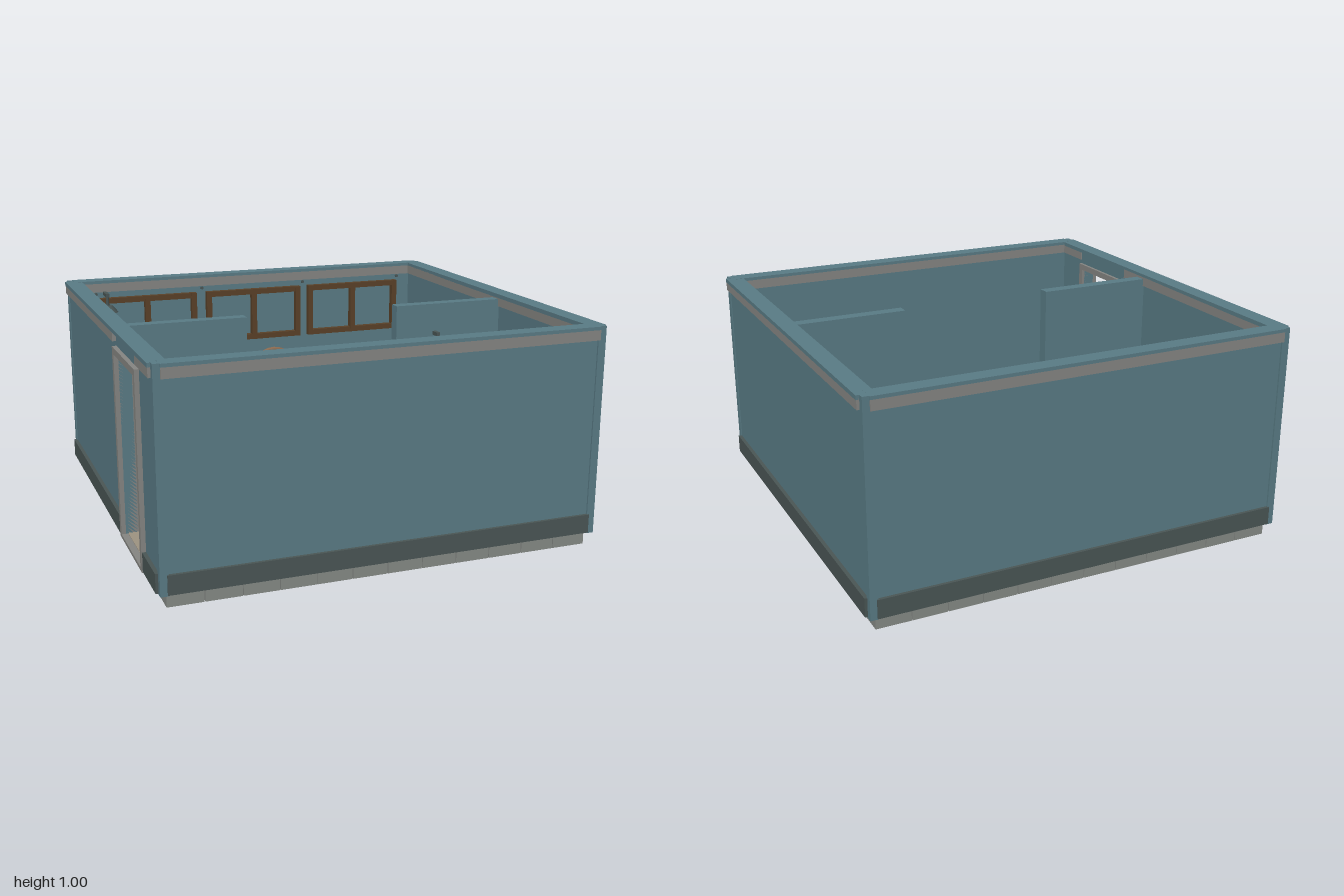
import * as THREE from 'three';

const COLORS = {
  wallBlue: 0x5a7c86, plankGrey: 0x868a86, trimGrey: 0x868683, darkIron: 0x4a5655,
  wood: 0x5a4128, linen: 0x9e9482, blanketGreen: 0x6f7c62, blanketStripe: 0x8f9680,
  copper: 0x8a6a50, steel: 0x76807f,
};

export function createModel() {
  const root = new THREE.Group();
  root.name = 'cabin';
  const M = {};
  for (const [name, color] of Object.entries(COLORS)) {
    M[name] = new THREE.MeshStandardMaterial({ color });
    M[name].name = name;
  }
  const group = (name, parent = root) => {
    const g = new THREE.Group();
    g.name = name;
    parent.add(g);
    return g;
  };
  const mesh = (name, geo, mat, x, y, z, parent = root) => {
    const m = new THREE.Mesh(geo, M[mat]);
    m.name = name;
    m.position.set(x, y, z);
    parent.add(m);
    return m;
  };
  // Box given by its extents on each axis
  const box = (name, mat, x0, x1, y0, y1, z0, z1, parent = root) =>
    mesh(name, new THREE.BoxGeometry(x1 - x0, y1 - y0, z1 - z0), mat,
      (x0 + x1) / 2, (y0 + y1) / 2, (z0 + z1) / 2, parent);
  const cyl = (name, mat, r0, r1, h, x, y, z, parent = root, sides = 16) =>
    mesh(name, new THREE.CylinderGeometry(r0, r1, h, sides), mat, x, y, z, parent);

  // Floor planks
  const floor = group('floor');
  for (let i = 0; i < 12; i++) {
    const x = -0.957 + i * 0.1595;
    box('plank', 'plankGrey', x + 0.002, x + 0.1575, 0, 0.06, -0.94, 0.94, floor);
  }

  // Walls; the -x side has a doorway
  const walls = group('walls');
  const D0 = 0.3, D1 = 0.68, doorTop = 0.89;
  box('frontWall', 'wallBlue', -0.955, 0.955, 0.06, 0.985, 0.905, 0.96, walls);
  box('backWall', 'wallBlue', -0.955, 0.955, 0.06, 0.985, -0.96, -0.905, walls);
  box('leftWall', 'wallBlue', 0.925, 0.98, 0.06, 0.985, -0.94, 0.94, walls);
  box('rightWallRear', 'wallBlue', -0.98, -0.925, 0.06, 0.985, -0.94, D0, walls);
  box('rightWallFront', 'wallBlue', -0.98, -0.925, 0.06, 0.985, D1, 0.94, walls);
  box('doorLintel', 'wallBlue', -0.98, -0.925, doorTop, 0.985, D0, D1, walls);

  // Skirting and top trim, outside and inside, with a flush cap on top
  const bands = [['skirting', 'darkIron', 0.065, 0.15], ['topTrim', 'trimGrey', 0.94, 0.985]];
  for (const [name, mat, y0, y1] of bands) {
    for (const s of [-1, 1]) {
      const zs = (a, b) => [Math.min(s * a, s * b), Math.max(s * a, s * b)];
      box(name, mat, -0.955, 0.955, y0, y1, ...zs(0.96, 0.974), walls);
      box(name + 'Inside', mat, -0.925, 0.925, y0, y1, ...zs(0.899, 0.905), walls);
      const runs = s > 0 ? [[-0.94, 0.94]] : [[-0.94, 0.27], [0.71, 0.94]];
      for (const [a, b] of runs) {
        box(name, mat, ...zs(0.98, 0.997), y0, y1, a, b, walls);
        box(name + 'Inside', mat, ...zs(0.919, 0.925), y0, y1, Math.max(a, -0.9), Math.min(b, 0.9), walls);
      }
    }
  }
  for (const s of [-1, 1]) {
    const mid = s * 0.9365;
    box('wallCap', 'wallBlue', -0.957, 0.957, 0.985, 1, mid - 0.0385, mid + 0.0385, walls);
    const mx = s * 0.959;
    box('sideCap', 'wallBlue', mx - 0.04, mx + 0.04, 0.98, 0.999, -0.94, 0.94, walls);
    for (const t of [-1, 1])
      box('cornerPost', 'wallBlue', s * 0.967 - 0.018, s * 0.967 + 0.018, 0.06, 1,
        t * 0.95 - 0.018, t * 0.95 + 0.018, walls);
  }

  // Door frame and sill
  const door = group('doorway');
  for (const z of [0.27, 0.68]) box('doorJamb', 'trimGrey', -1, -0.91, 0.06, 0.92, z, z + 0.03, door);
  box('doorHeader', 'trimGrey', -1, -0.91, 0.89, 0.92, 0.3, 0.68, door);
  box('outerSill', 'trimGrey', -1, -0.97, 0.06, 0.075, 0.3, 0.68, door);
  box('doorSill', 'linen', -0.97, -0.88, 0.06, 0.078, 0.3, 0.68, door);

  // Partitions
  box('partitionRight', 'wallBlue', -0.925, -0.36, 0.06, 0.975, 0.09, 0.145);
  box('partitionLeft', 'wallBlue', 0.38, 0.925, 0.06, 0.975, 0.09, 0.145);

  // Wooden window frames on the back wall
  for (const cx of [-0.585, 0, 0.575]) {
    const f = group('windowFrame');
    const w = 0.265, t = 0.028, z0 = -0.905, z1 = -0.873;
    for (const x of [cx - w, cx - t / 2, cx + w - t])
      box('upright', 'wood', x, x + t, 0.635, 0.91, z0, z1, f);
    for (const y of [0.635, 0.882]) box('rail', 'wood', cx - w, cx + w, y, y + t, z0, z1 - 0.002, f);
  }

  // Bolts on back wall and floor
  const bolts = group('bolts');
  for (const x of [-0.85, -0.285, 0.285, 0.85])
    for (const y of [0.55, 0.93]) cyl('wallBolt', 'darkIron', 0.008, 0.008, 0.012, x, y, -0.898, bolts, 8).rotation.x = Math.PI / 2;
  for (const [x, z] of [[-0.88, -0.81], [0.72, -0.81], [-0.88, 0.8], [-0.24, 0.8], [0.08, 0.8], [0.4, 0.8]])
    cyl('floorBolt', 'darkIron', 0.01, 0.01, 0.008, x, 0.063, z, bolts, 8);

  // Control desk
  const desk = group('desk');
  box('deskTop', 'wallBlue', -0.64, 0.64, 0.415, 0.455, -0.84, -0.61, desk);
  for (const x of [-0.56, 0.56])
    for (const z of [-0.805, -0.645]) box('deskLeg', 'wood', x - 0.016, x + 0.016, 0.06, 0.415, z - 0.016, z + 0.016, desk);
  mesh('paper', new THREE.BoxGeometry(0.11, 0.008, 0.08), 'linen', -0.5, 0.459, -0.72, desk).rotation.y = -0.08;
  for (const x of [-0.35, -0.19, 0.195, 0.35]) {
    cyl('gaugeBody', 'darkIron', 0.042, 0.042, 0.02, x, 0.465, -0.667, desk, 20);
    cyl('gaugeFace', 'wallBlue', 0.034, 0.034, 0.004, x, 0.476, -0.667, desk, 20);
    mesh('gaugeNeedle', new THREE.BoxGeometry(0.04, 0.004, 0.006), 'linen', x, 0.479, -0.667, desk).rotation.y = 0.8;
  }
  box('leverBox', 'darkIron', 0.43, 0.535, 0.455, 0.49, -0.69, -0.613, desk);
  cyl('lever', 'steel', 0.006, 0.006, 0.07, 0.465, 0.52, -0.655, desk, 8);
  mesh('leverKnob', new THREE.SphereGeometry(0.017, 12, 8), 'wood', 0.465, 0.56, -0.655, desk);

  // Steering wheel on its column
  const wheel = group('steeringWheel');
  box('columnMount', 'steel', -0.025, 0.025, 0.455, 0.53, -0.72, -0.67, wheel);
  cyl('column', 'steel', 0.025, 0.025, 0.16, 0, 0.53, -0.64, wheel).rotation.x = Math.PI / 2;
  mesh('wheelRim', new THREE.TorusGeometry(0.118, 0.012, 8, 28), 'copper', 0, 0.53, -0.555, wheel);
  cyl('wheelHub', 'copper', 0.028, 0.028, 0.024, 0, 0.53, -0.555, wheel).rotation.x = Math.PI / 2;
  for (let i = 0; i < 3; i++)
    cyl('wheelSpoke', 'copper', 0.007, 0.007, 0.23, 0, 0.53, -0.555, wheel, 8).rotation.z = i * Math.PI / 3;

  // Hanging lanterns on wall brackets
  for (const [x, y, z, back] of [[-0.805, 0.75, -0.83, -0.905], [0.58, 0.65, 0.18, 0.145]]) {
    const l = group('lantern');
    cyl('lanternBase', 'darkIron', 0.045, 0.045, 0.025, x, y, z, l);
    cyl('lanternGlass', 'linen', 0.033, 0.033, 0.09, x, y + 0.055, z, l);
    cyl('lanternCap', 'darkIron', 0.025, 0.053, 0.035, x, y + 0.115, z, l);
    cyl('lanternHook', 'darkIron', 0.008, 0.008, 0.06, x, y + 0.16, z, l, 8);
    box('lanternBracket', 'darkIron', x - 0.009, x + 0.009, y + 0.175, y + 0.193, back, z + 0.01, l);
  }

  // Bed
  const bed = group('bed');
  box('bedFrame', 'wallBlue', 0.405, 0.835, 0.15, 0.2, 0.15, 0.85, bed);
  for (const x of [0.42, 0.805]) {
    box('headPost', 'wallBlue', x, x + 0.03, 0.06, 0.3, 0.145, 0.172, bed);
    box('footLeg', 'wallBlue', x, x + 0.03, 0.06, 0.15, 0.815, 0.845, bed);
  }
  box('footBoard', 'wallBlue', 0.4, 0.84, 0.15, 0.23, 0.832, 0.854, bed);
  box('mattress', 'linen', 0.42, 0.82, 0.2, 0.245, 0.15, 0.83, bed);
  box('pillow', 'linen', 0.465, 0.775, 0.245, 0.28, 0.178, 0.32, bed);
  box('blanket', 'blanketGreen', 0.412, 0.828, 0.19, 0.26, 0.39, 0.831, bed);
  for (const x of [0.48, 0.745]) box('blanketStripe', 'blanketStripe', x, x + 0.012, 0.259, 0.264, 0.39, 0.831, bed);

  // Storage chest
  const chest = group('chest');
  box('chestBody', 'wallBlue', -0.66, -0.415, 0.06, 0.19, 0.66, 0.835, chest);
  box('chestLid', 'wallBlue', -0.672, -0.403, 0.19, 0.23, 0.65, 0.842, chest);
  for (const x of [-0.65, -0.44]) box('chestHinge', 'darkIron', x, x + 0.02, 0.16, 0.21, 0.835, 0.85, chest);
  box('chestPlate', 'linen', -0.59, -0.49, 0.1, 0.15, 0.835, 0.844, chest);

  return root;
}
